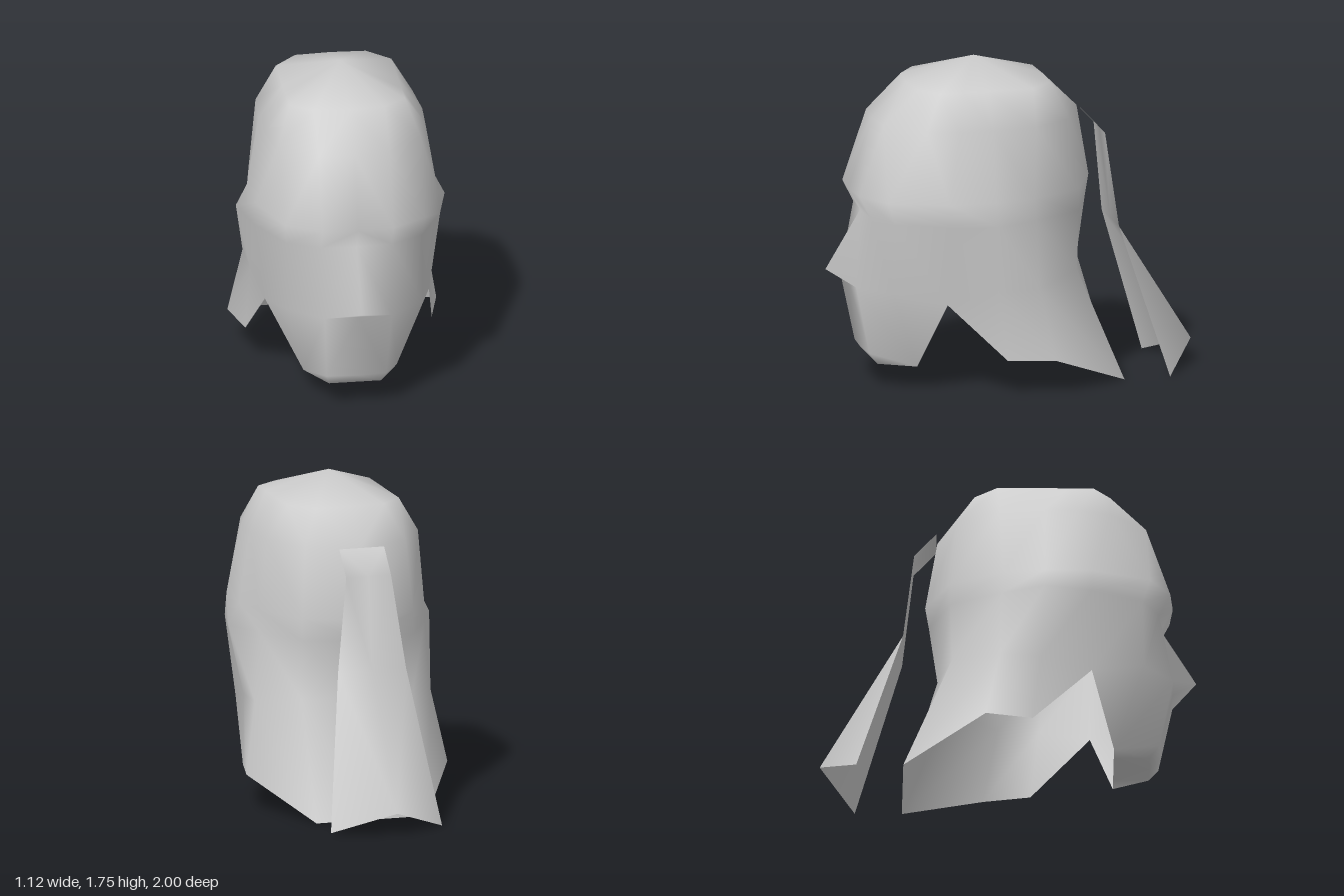
import * as THREE from 'three';
import { mergeVertices } from 'three/addons/utils/BufferGeometryUtils.js';

// Skin a list of equally long rows of points, dropping collapsed triangles
function skin(rows, closed) {
  const pos = [];
  const tri = (a, b, c) => {
    const n = b.clone().sub(a).cross(c.clone().sub(a));
    if (n.length() > 1e-6) for (const p of [a, b, c]) pos.push(p.x, p.y, p.z);
  };
  const count = rows[0].length;
  for (let i = 0; i < rows.length - 1; i++) {
    for (let j = 0; j < (closed ? count : count - 1); j++) {
      const k = (j + 1) % count;
      const a = rows[i][j], b = rows[i + 1][j], c = rows[i + 1][k], d = rows[i][k];
      // mirror the diagonal on the second half so both sides match
      if (j < Math.floor(count / 2)) { tri(a, b, c); tri(a, c, d); }
      else { tri(a, b, d); tri(b, c, d); }
    }
  }
  const soup = new THREE.BufferGeometry();
  soup.setAttribute('position', new THREE.Float32BufferAttribute(pos, 3));
  const geo = mergeVertices(soup);
  geo.computeVertexNormals();
  return geo;
}

// Half ring (front to back on +x) mirrored to a full ring
function ring(half) {
  const left = half.map(([x, y, z]) => new THREE.Vector3(x, y, z));
  const right = left.slice(1, -1).reverse().map((p) => new THREE.Vector3(-p.x, p.y, p.z));
  return [...left, ...right];
}

export function createModel() {
  const group = new THREE.Group();
  const grey = new THREE.MeshStandardMaterial({ color: 0xcccccc, side: THREE.DoubleSide });
  grey.name = 'plain grey';

  // Level rings of the skull: height, then x and z from front to back
  const levels = [
    [1.625, [[0, 0.56], [0.19, 0.54], [0.31, 0.45], [0.31, 0.32], [0.31, 0.19], [0.31, -0.06], [0.19, -0.18], [0, -0.19]]],
    [1.44, [[0, 0.75], [0.19, 0.73], [0.38, 0.54], [0.43, 0.37], [0.44, 0.19], [0.42, -0.05], [0.28, -0.27], [0, -0.375]]],
    [1.06, [[0, 0.875], [0.19, 0.86], [0.375, 0.75], [0.49, 0.44], [0.5, 0.19], [0.46, -0.03], [0.31, -0.31], [0, -0.44]]],
    [0.94, [[0, 0.81], [0.19, 0.8], [0.365, 0.71], [0.5, 0.44], [0.56, 0.19], [0.46, -0.04], [0.31, -0.31], [0, -0.42]]],
  ];
  const crown = Array(8).fill([0, 1.75, 0.19]);
  const skull = levels.map(([y, pts]) => pts.map(([x, z]) => [x, y, z]));

  // Nose and lip share a ring apart from the nose tip
  const lip = [[0, 0.56, 0.875], [0.18, 0.56, 0.875], [0.365, 0.56, 0.72], [0.44, 0.5, 0.44],
    [0.48, 0.56, 0.17], [0.49, 0.57, -0.05], [0.31, 0.62, -0.3], [0, 0.625, -0.375]];
  const nose = [[0, 0.625, 1], ...lip.slice(1)];

  // Jaw, notch before the ear, and flared hair hem
  const hem = [[0, 0.19, 0.81], [0.16, 0.19, 0.8], [0.25, 0.125, 0.56], [0.44, 0.5, 0.44],
    [0.5, 0.19, 0.125], [0.56, 0.19, -0.125], [0.31, 0, -0.56], [0, 0, -0.56]];
  const chin = [[0, 0.125, 0.75], [0.14, 0.125, 0.75], ...hem.slice(2)];
  const underChin = [[0, 0.125, 0.56], [0.14, 0.125, 0.56], ...hem.slice(2)];

  const headRows = [crown, ...skull, nose, lip, hem, chin, underChin].map(ring);
  const head = new THREE.Mesh(skin(headRows, true), grey);
  head.name = 'head';
  group.add(head);

  // Ponytail strip: half width, edge height and z, middle height and z
  const tail = [
    [0.125, 1.44, -0.38, 1.44, -0.38],
    [0.125, 1.31, -0.5, 1.31, -0.5],
    [0.19, 0.81, -0.56, 0.81, -0.56],
    [0.31, 0, -0.81, 0.125, -1],
  ].map(([w, y, z, my, mz]) => [
    new THREE.Vector3(w, y, z), new THREE.Vector3(0, my, mz), new THREE.Vector3(-w, y, z),
  ]);
  const ponytail = new THREE.Mesh(skin(tail, false), grey);
  ponytail.name = 'ponytail';
  group.add(ponytail);

  return group;
}
